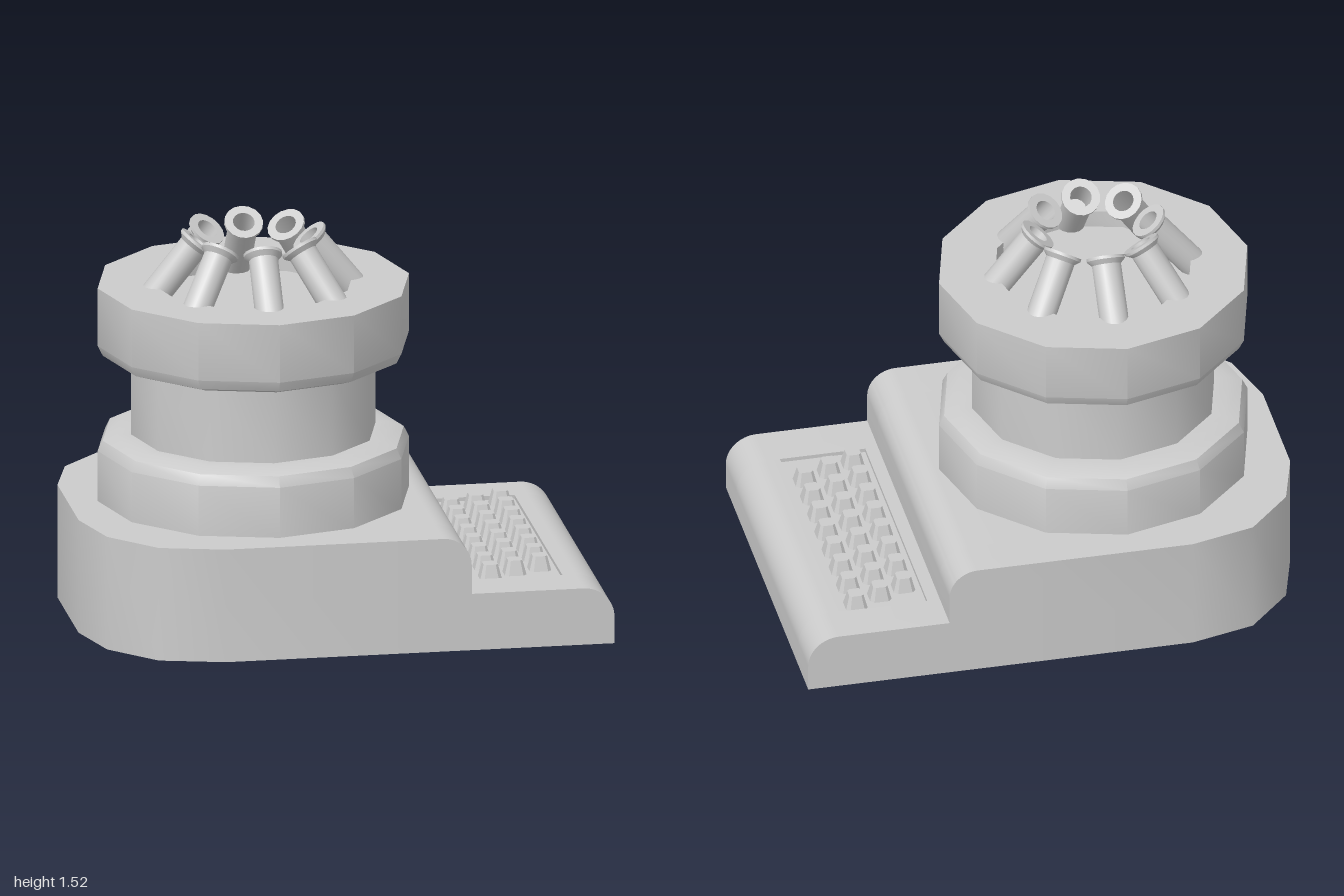
import * as THREE from 'three';
import { toCreasedNormals } from 'three/addons/utils/BufferGeometryUtils.js';

const HALF_DEPTH = 0.725;
const DRUM_X = -0.28;
const CREASE = 0.6;

export function createModel() {
  const model = new THREE.Group();
  const grey = new THREE.MeshStandardMaterial({ color: 0xcccccc });

  const add = (name, geometry, parent = model) => {
    const mesh = new THREE.Mesh(geometry, grey);
    mesh.name = name;
    parent.add(mesh);
    return mesh;
  };
  const lathe = (profile, segments) => toCreasedNormals(
    new THREE.LatheGeometry(profile.map(([r, y]) => new THREE.Vector2(r, y)), segments), CREASE);

  // Rear part of the base: plan with a faceted round end
  const corner = [[-0.51, HALF_DEPTH], [-0.76, 0.66], [-0.93, 0.48], [-1, 0.24]];
  const plan = [
    [0.2, -HALF_DEPTH], [0.2, HALF_DEPTH], ...corner,
    ...corner.map(([x, z]) => [x, -z]).reverse(),
  ].map(([x, z]) => new THREE.Vector2(x, z));
  const block = new THREE.ExtrudeGeometry(new THREE.Shape(plan), { depth: 0.45, bevelEnabled: false });
  block.rotateX(-Math.PI / 2);
  add('baseBlock', toCreasedNormals(block, CREASE));

  // Stepped part of the base, in three slices so the key panel can be sunk
  const stepSlice = (z0, z1, sunk) => {
    const s = new THREE.Shape();
    s.moveTo(0.2, 0);
    s.lineTo(1, 0);
    s.lineTo(1, 0.105);
    s.absarc(0.88, 0.105, 0.12, 0, Math.PI / 2, false);
    if (sunk) {
      s.lineTo(0.83, 0.225);
      s.lineTo(0.83, 0.21);
      s.lineTo(0.495, 0.21);
      s.lineTo(0.495, 0.225);
    }
    s.lineTo(0.445, 0.225);
    s.lineTo(0.445, 0.34);
    s.absarc(0.335, 0.34, 0.11, 0, Math.PI / 2, false);
    s.lineTo(0.2, 0.45);
    s.closePath();
    const g = new THREE.ExtrudeGeometry(s, { depth: z1 - z0, bevelEnabled: false, curveSegments: 8 });
    g.translate(0, 0, z0);
    return toCreasedNormals(g, CREASE);
  };
  add('stepBack', stepSlice(-HALF_DEPTH, -0.555, false));
  add('stepKeyPanel', stepSlice(-0.555, 0.535, true));
  add('stepFront', stepSlice(0.535, HALF_DEPTH, false));

  // Keys: tapered squares with clipped corners, in three staggered columns
  const keyGeometry = new THREE.CylinderGeometry(0.03, 0.046, 0.058, 8, 1, false, Math.PI / 8);
  const p = keyGeometry.attributes.position;
  for (let i = 0; i < p.count; i++) {
    const x = p.getX(i), z = p.getZ(i);
    if (Math.abs(x) < Math.abs(z)) p.setX(i, x * 1.6);
    else p.setZ(i, z * 1.6);
  }
  const keyShape = toCreasedNormals(keyGeometry, 0.3);
  const keys = new THREE.Group();
  keys.name = 'keys';
  model.add(keys);
  [[0.56, -0.42], [0.662, -0.46], [0.765, -0.5]].forEach(([x, z]) => {
    for (let i = 0; i < 8; i++) {
      add('key', keyShape, keys).position.set(x, 0.238, z + i * 0.1265);
    }
  });

  // Twelve-sided drum
  const drum = new THREE.Group();
  drum.name = 'drum';
  drum.position.x = DRUM_X;
  model.add(drum);
  add('lowerCollar', lathe([
    [0.605, 0.44], [0.605, 0.65], [0.585, 0.69], [0.53, 0.71], [0.46, 0.71],
  ], 12), drum);
  add('column', lathe([[0.475, 0.7], [0.475, 1.02]], 12), drum);
  add('upperCollar', lathe([
    [0.46, 1.01], [0.53, 1.01], [0.585, 1.03], [0.605, 1.07], [0.605, 1.3],
    [0.385, 1.3], [0.385, 1.23], [0, 1.23],
  ], 12), drum);

  // Ring of hollow flared tubes leaning inwards; their origin is the mouth
  const tubeShape = lathe([
    [0, -0.34], [0.057, -0.34], [0.057, -0.03], [0.075, -0.012], [0.075, 0],
    [0.042, 0], [0.042, -0.15], [0, -0.15],
  ], 16);
  for (let i = 0; i < 8; i++) {
    const arm = new THREE.Group();
    arm.name = 'tubeArm';
    arm.rotation.y = i * Math.PI / 4;
    drum.add(arm);
    const tube = add('tube', tubeShape, arm);
    tube.position.set(0, 1.472, 0.215);
    tube.rotation.x = -0.68;
  }
  return model;
}
